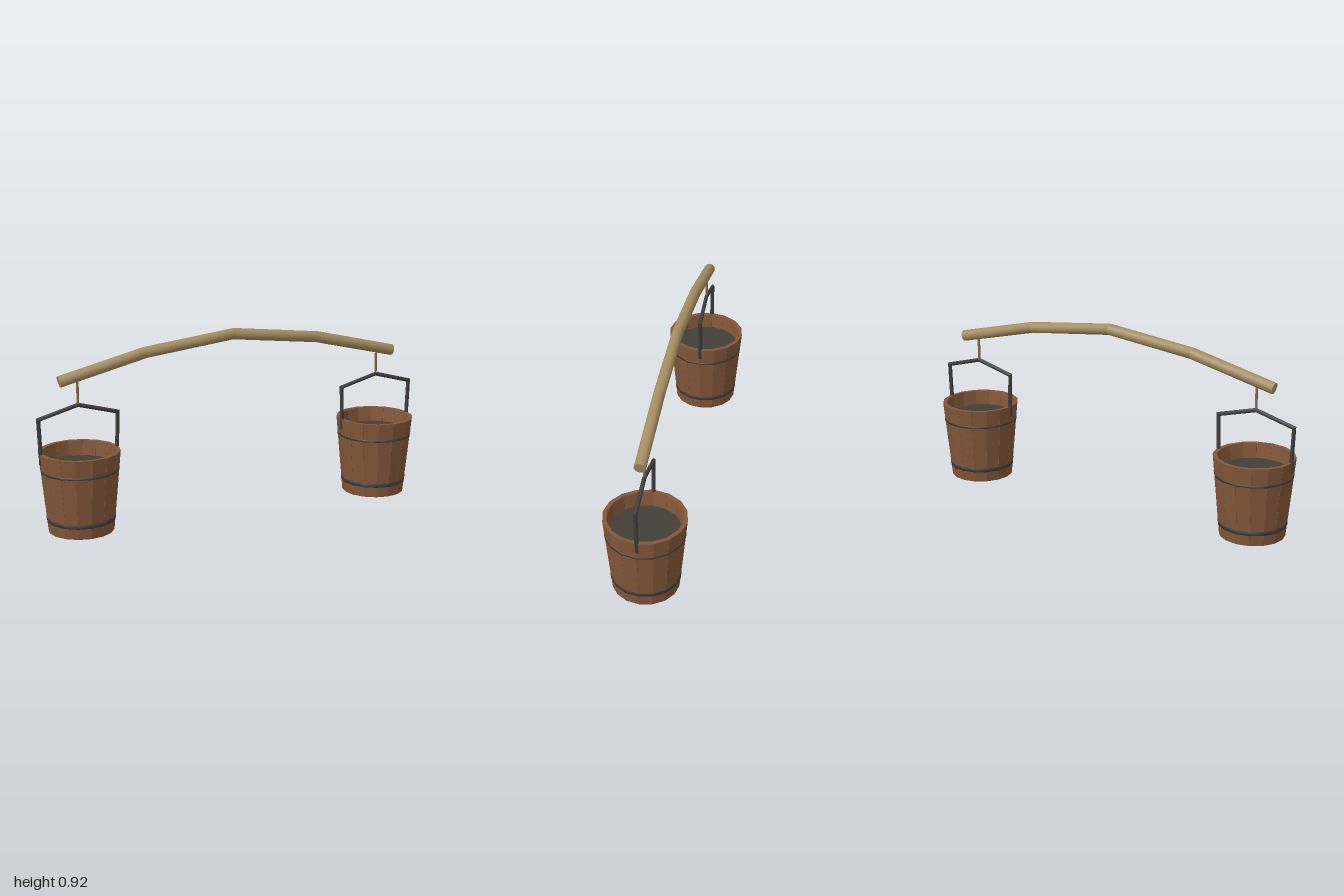
import * as THREE from 'three';

const material = (name, color, side = THREE.FrontSide) => {
  const m = new THREE.MeshStandardMaterial({ color, side });
  m.name = name;
  return m;
};

const STAVES = 16;
const HEIGHT = 0.393;
const BUCKET_X = 0.796;
const radiusAt = (y) => 0.158 + (0.038 * y) / HEIGHT; // outer bucket taper

// Round bar swept along points in the xy plane, with mitred joints and flat ends
function mitredBar(points, radius, sides) {
  const pts = points.map(([x, y]) => new THREE.Vector2(x, y));
  const dirs = pts.slice(1).map((p, i) => p.clone().sub(pts[i]).normalize());
  const position = [];
  const index = [];
  const ring = (i) => {
    const a = dirs[Math.max(i - 1, 0)];
    const b = dirs[Math.min(i, dirs.length - 1)];
    const t = a.clone().add(b).normalize();
    const miter = radius / t.dot(a);
    const start = position.length / 3;
    for (let k = 0; k < sides; k++) {
      const ang = (k / sides) * Math.PI * 2;
      const c = Math.cos(ang) * miter;
      position.push(pts[i].x - t.y * c, pts[i].y + t.x * c, Math.sin(ang) * radius);
    }
    return start;
  };
  // each straight length has its own rings so the joints stay crisp
  for (let s = 0; s < dirs.length; s++) {
    const a = ring(s);
    const b = ring(s + 1);
    for (let k = 0; k < sides; k++) {
      const n = (k + 1) % sides;
      index.push(a + k, a + n, b + k, a + n, b + n, b + k);
    }
  }
  // end caps
  const first = ring(0);
  const last = ring(pts.length - 1);
  for (let k = 1; k < sides - 1; k++) {
    index.push(first, first + k + 1, first + k, last, last + k, last + k + 1);
  }
  const g = new THREE.BufferGeometry();
  g.setAttribute('position', new THREE.Float32BufferAttribute(position, 3));
  g.setIndex(index);
  g.computeVertexNormals();
  return g;
}

// One tapered stave: a box bent onto the bucket wall
function staveGeometry() {
  const g = new THREE.BoxGeometry(1, 1, 1);
  const p = g.attributes.position;
  const step = ((Math.PI * 2) / STAVES) * 0.985;
  for (let i = 0; i < p.count; i++) {
    const a = p.getX(i) * step;
    const y = (p.getY(i) + 0.5) * HEIGHT;
    const r = radiusAt(y) + (p.getZ(i) - 0.5) * 0.02;
    p.setXYZ(i, Math.sin(a) * r, y, Math.cos(a) * r);
  }
  g.computeVertexNormals();
  return g;
}

// Hoop following the taper between two heights
function hoopGeometry(y0, y1) {
  const profile = [
    [radiusAt(y0) - 0.008, y0],
    [radiusAt(y0) + 0.0015, y0],
    [radiusAt(y1) + 0.0015, y1],
    [radiusAt(y1) - 0.008, y1],
  ].map(([x, y]) => new THREE.Vector2(x, y));
  return new THREE.LatheGeometry(profile, STAVES);
}

export function createModel() {
  const poleWood = material('pole wood', 0xa48d61);
  const bucketWood = material('bucket wood', 0x84573a);
  const iron = material('dark iron', 0x403e3c, THREE.DoubleSide);
  const liquid = material('dark contents', 0x423e38);
  const rope = material('rope', 0x866f4e);

  const model = new THREE.Group();
  model.name = 'carryingYoke';
  const add = (parent, name, geometry, mat) => {
    const mesh = new THREE.Mesh(geometry, mat);
    mesh.name = name;
    parent.add(mesh);
    return mesh;
  };

  // Bowed shoulder pole
  const polePath = [[-0.885, 0.733], [-0.456, 0.836], [0, 0.889], [0.456, 0.836], [0.885, 0.733]];
  add(model, 'pole', mitredBar(polePath, 0.028, 12), poleWood);

  const stave = staveGeometry();
  const lowerHoop = hoopGeometry(0.053, 0.073);
  const upperHoop = hoopGeometry(0.299, 0.31);
  const handlePath = [[-0.187, 0.34], [-0.195, 0.562], [0, 0.615], [0.195, 0.562], [0.187, 0.34]];
  const handle = mitredBar(handlePath, 0.01, 8);

  for (const side of [-1, 1]) {
    const bucket = new THREE.Group();
    bucket.name = side > 0 ? 'leftBucket' : 'rightBucket';
    bucket.position.x = side * BUCKET_X;
    model.add(bucket);

    // Wall of staves
    for (let i = 0; i < STAVES; i++) {
      add(bucket, 'stave', stave, bucketWood).rotation.y = ((i + 0.5) / STAVES) * Math.PI * 2;
    }

    // Recessed floor and the contents filling the bucket above it
    const floor = add(bucket, 'floor', new THREE.CylinderGeometry(0.145, 0.143, 0.02, STAVES), bucketWood);
    floor.position.y = 0.045;
    const contents = add(bucket, 'contents', new THREE.CylinderGeometry(0.175, 0.146, 0.27, STAVES), liquid);
    contents.position.y = 0.185;

    // Hoops, handle and hanging rope
    add(bucket, 'lowerHoop', lowerHoop, iron);
    add(bucket, 'upperHoop', upperHoop, iron);
    add(bucket, 'handle', handle, iron);
    const hanger = add(bucket, 'hanger', new THREE.CylinderGeometry(0.0065, 0.0065, 0.14, 8), rope);
    hanger.position.y = 0.685;
  }
  return model;
}
